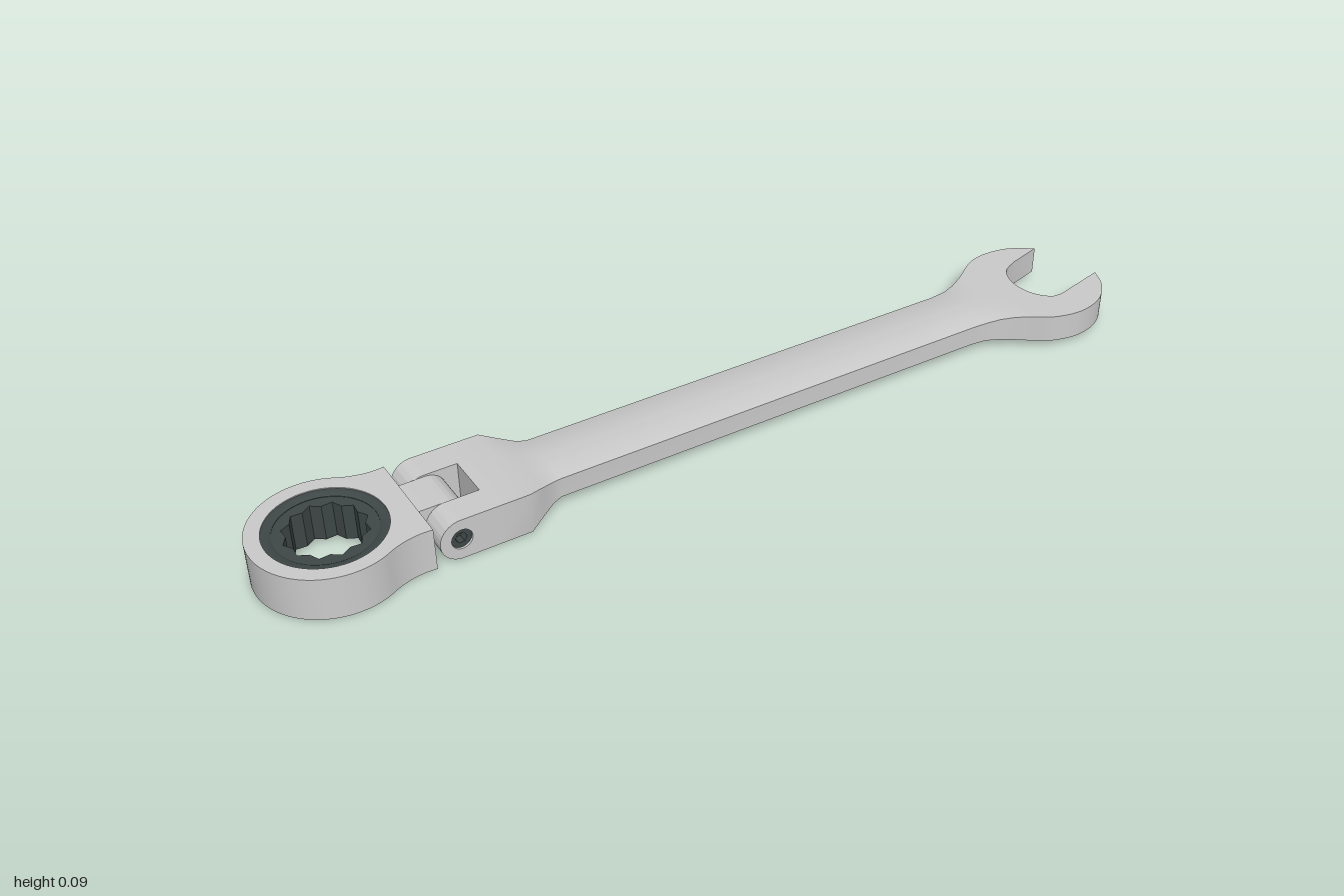
import * as THREE from 'three';
import { toCreasedNormals } from 'three/addons/utils/BufferGeometryUtils.js';

const CZ = -0.006, MID = 0.048; // long axis of the tool in z and y
const PIVOT_X = -0.63;

const steel = new THREE.MeshStandardMaterial({ color: 0xcccccc });
const dark = new THREE.MeshStandardMaterial({ color: 0x3f4747 });

function add(parent, name, geometry, material = steel) {
  const mesh = new THREE.Mesh(toCreasedNormals(geometry, 0.6), material);
  mesh.name = name;
  parent.add(mesh);
  return mesh;
}

// Extrude a plan outline (drawn as x, -z) upward from y0 to y1
function slab(shape, y0, y1) {
  const g = new THREE.ExtrudeGeometry(shape, { depth: y1 - y0, bevelEnabled: false, curveSegments: 32 });
  return g.rotateX(-Math.PI / 2).translate(0, y0, 0);
}

// Extrude a side outline (x, y) from z0 to z1
function plate(shape, z0, z1) {
  const g = new THREE.ExtrudeGeometry(shape, { depth: z1 - z0, bevelEnabled: false, curveSegments: 24 });
  return g.translate(0, 0, z0);
}

function circlePath(x, y, r) {
  return new THREE.Path().absarc(x, y, r, 0, Math.PI * 2, true);
}

// Loft along x; section: [x, half width, half height at edge, half height at crown]
function loft(sections) {
  const N = 12, ring = 2 * (N + 1), pos = [], idx = [];
  for (const [x, w, edge, crown] of sections) {
    for (const s of [1, -1]) {
      for (let k = 0; k <= N; k++) {
        const u = 1 - (2 * k) / N;
        pos.push(x, MID + s * (edge + (crown - edge) * (1 - u * u)), CZ + s * u * w);
      }
    }
  }
  const last = (sections.length - 1) * ring;
  for (let i = 0; i < last; i += ring) {
    for (let j = 0; j < ring; j++) {
      const a = i + j, d = i + ((j + 1) % ring);
      idx.push(a, a + ring, d + ring, a, d + ring, d);
    }
  }
  for (let j = 1; j < ring - 1; j++) idx.push(0, j, j + 1, last, last + j + 1, last + j);
  const g = new THREE.BufferGeometry();
  g.setAttribute('position', new THREE.Float32BufferAttribute(pos, 3));
  g.setIndex(idx);
  return g;
}

function openEnd() {
  const v = (pts) => pts.map(([x, z]) => new THREE.Vector2(x, -z));
  const s = new THREE.Shape();
  s.moveTo(0.75, 0.124);
  s.splineThru(v([[0.79, -0.148], [0.84, -0.158], [0.9, -0.149], [0.955, -0.115]]));
  s.lineTo(0.87, 0.092);
  s.splineThru(v([[0.83, -0.069], [0.81, -0.02], [0.817, 0.033], [0.845, 0.068], [0.875, 0.072]]));
  s.lineTo(1.0, -0.042);
  s.splineThru(v([[0.977, 0.09], [0.93, 0.133], [0.865, 0.152], [0.8, 0.142], [0.75, 0.112]]));
  s.closePath();
  return slab(s, MID - 0.031, MID + 0.031);
}

function ringHead(parent) {
  const cx = -0.85, cy = -CZ, r = 0.15, a = Math.PI / 3;
  const px = cx + r * Math.cos(a), pz = r * Math.sin(a);
  // Round housing flowing into a square neck
  const s = new THREE.Shape();
  s.moveTo(-0.685, cy + 0.114);
  s.quadraticCurveTo(-0.73, cy + 0.108, px, cy + pz);
  s.absarc(cx, cy, r, a, Math.PI * 2 - a, false);
  s.quadraticCurveTo(-0.73, cy - 0.108, -0.685, cy - 0.114);
  s.closePath();
  s.holes.push(circlePath(cx, cy, 0.119));
  add(parent, 'ringHousing', slab(s, 0, 0.094));

  // Retaining collar with bevelled lips
  const profile = [[0.1, 0.006], [0.106, 0.002], [0.119, 0.002], [0.119, 0.092], [0.106, 0.092], [0.1, 0.088], [0.1, 0.006]];
  const collar = new THREE.LatheGeometry(profile.map((p) => new THREE.Vector2(...p)), 64);
  add(parent, 'ratchetCollar', collar.translate(cx, 0, CZ), dark);

  // Twelve-point socket
  const gear = new THREE.Shape().absarc(cx, cy, 0.101, 0, Math.PI * 2, false);
  const points = [];
  for (let i = 0; i < 24; i++) {
    const t = (i * Math.PI) / 12, q = i % 2 ? 0.073 : 0.083;
    points.push(new THREE.Vector2(cx + q * Math.cos(t), cy + q * Math.sin(t)));
  }
  gear.holes.push(new THREE.Path(points));
  add(parent, 'ratchetSocket', slab(gear, 0.007, 0.087), dark);

  // Hinge tongue
  const t = new THREE.Shape();
  t.moveTo(-0.7, MID - 0.043);
  t.lineTo(PIVOT_X, MID - 0.043);
  t.absarc(PIVOT_X, MID, 0.043, -Math.PI / 2, Math.PI / 2, false);
  t.lineTo(-0.7, MID + 0.043);
  t.closePath();
  add(parent, 'hingeTongue', plate(t, CZ - 0.047, CZ + 0.047));
}

// Two rounded fork prongs, each with a pin head that has a hex recess
function fork(parent) {
  for (const side of [1, -1]) {
    const holeR = side > 0 ? 0.022 : 0.029;
    const s = new THREE.Shape();
    s.moveTo(-0.56, MID + 0.045);
    s.lineTo(PIVOT_X, MID + 0.045);
    s.absarc(PIVOT_X, MID, 0.045, Math.PI / 2, Math.PI * 1.5, false);
    s.lineTo(-0.56, MID - 0.045);
    s.closePath();
    s.holes.push(circlePath(PIVOT_X, MID, holeR));
    const inner = CZ + side * 0.049, outer = CZ + side * 0.114;
    add(parent, 'forkProng', plate(s, Math.min(inner, outer), Math.max(inner, outer)));

    const head = new THREE.Shape().absarc(PIVOT_X, MID, holeR, 0, Math.PI * 2, false);
    const hex = [];
    for (let i = 0; i < 6; i++) {
      const t = (i * Math.PI) / 3;
      hex.push(new THREE.Vector2(PIVOT_X + holeR * 0.55 * Math.cos(t), MID + holeR * 0.55 * Math.sin(t)));
    }
    head.holes.push(new THREE.Path(hex));
    const z0 = CZ + side * 0.085, z1 = CZ + side * 0.109;
    add(parent, 'pinHead', plate(head, Math.min(z0, z1), Math.max(z0, z1)), dark);
  }
  const pin = new THREE.CylinderGeometry(0.021, 0.021, 0.18, 32).rotateX(Math.PI / 2);
  add(parent, 'hingePin', pin.translate(PIVOT_X, MID, CZ), dark);
}

export function createModel() {
  const wrench = new THREE.Group();
  wrench.name = 'flexHeadWrench';

  const ring = new THREE.Group();
  ring.name = 'ringHead';
  ringHead(ring);

  const body = new THREE.Group();
  body.name = 'wrenchBody';
  fork(body);
  // Fork base, crowned handle and flare into the open end
  add(body, 'handle', loft([
    [-0.56, 0.114, 0.045, 0.045], [-0.485, 0.114, 0.045, 0.045],
    [-0.45, 0.095, 0.034, 0.037], [-0.42, 0.08, 0.025, 0.032], [-0.4, 0.074, 0.022, 0.031],
    [0.62, 0.074, 0.022, 0.031], [0.66, 0.077, 0.023, 0.031], [0.69, 0.085, 0.026, 0.031],
    [0.72, 0.099, 0.029, 0.031], [0.75, 0.118, 0.031, 0.031],
  ]));
  add(body, 'openJaw', openEnd());

  wrench.add(ring, body);
  return wrench;
}
